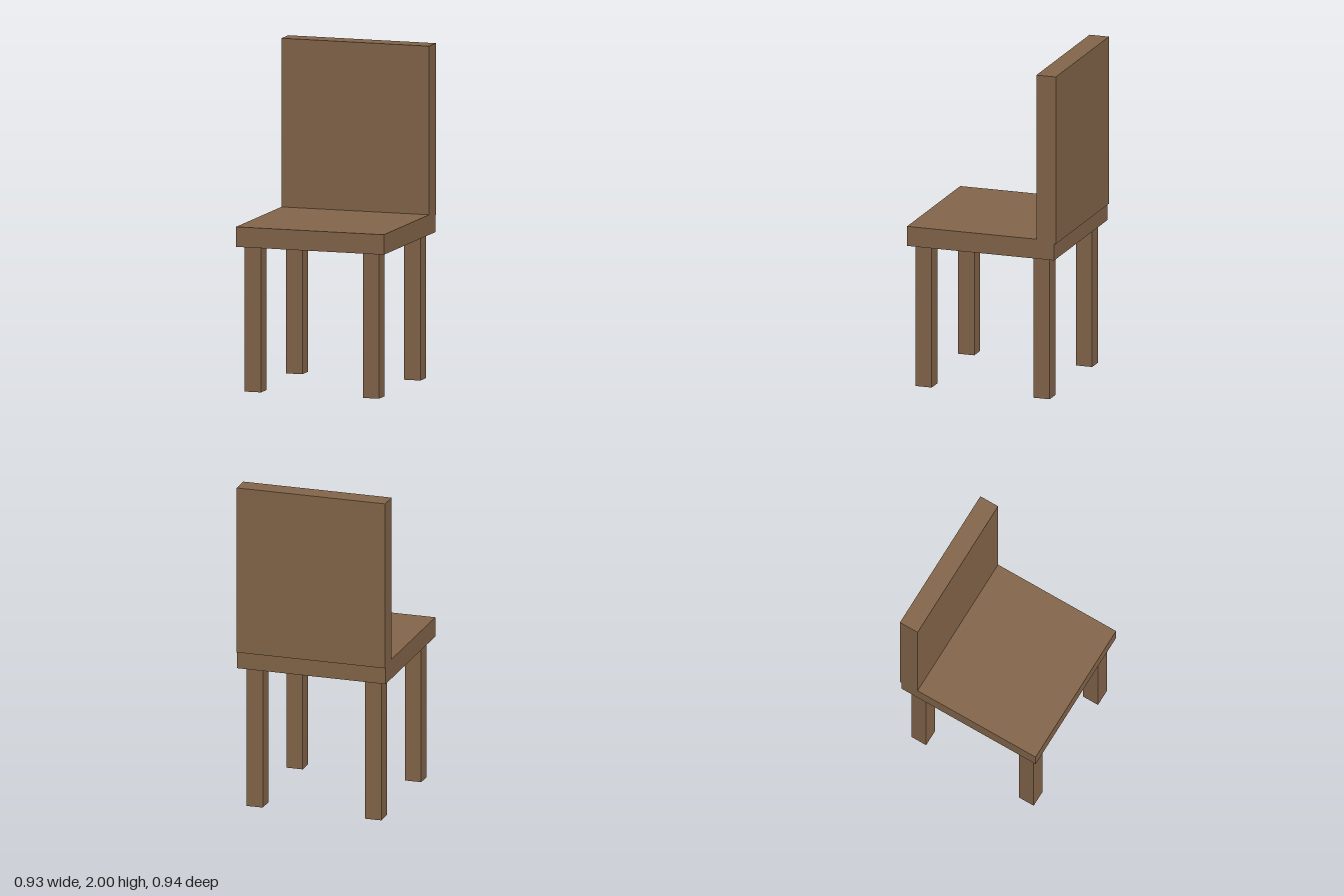
import * as THREE from 'three';

export function createModel() {
  const chair = new THREE.Group();
  chair.name = 'chair';
  const wood = new THREE.MeshStandardMaterial({ color: 0x84664a });
  wood.name = 'brown wood';

  // Box given by its lower and upper corners
  function addBox(name, [x0, y0, z0], [x1, y1, z1]) {
    const geometry = new THREE.BoxGeometry(x1 - x0, y1 - y0, z1 - z0);
    const mesh = new THREE.Mesh(geometry, wood);
    mesh.name = name;
    mesh.position.set((x0 + x1) / 2, (y0 + y1) / 2, (z0 + z1) / 2);
    chair.add(mesh);
  }

  addBox('seat', [-0.463, 0.87, -0.458], [0.463, 0.99, 0.468]);

  // Backrest sinks slightly into the seat and overhangs its rear edge
  addBox('backrest', [-0.463, 0.972, -0.468], [0.463, 2, -0.346]);

  // Four square legs
  const legWidth = 0.102;
  for (const [side, x] of [['Right', -0.422], ['Left', 0.318]]) {
    for (const [end, z] of [['front', 0.328], ['back', -0.414]]) {
      addBox(`${end}${side}Leg`, [x, 0, z], [x + legWidth, 0.87, z + legWidth]);
    }
  }

  return chair;
}
